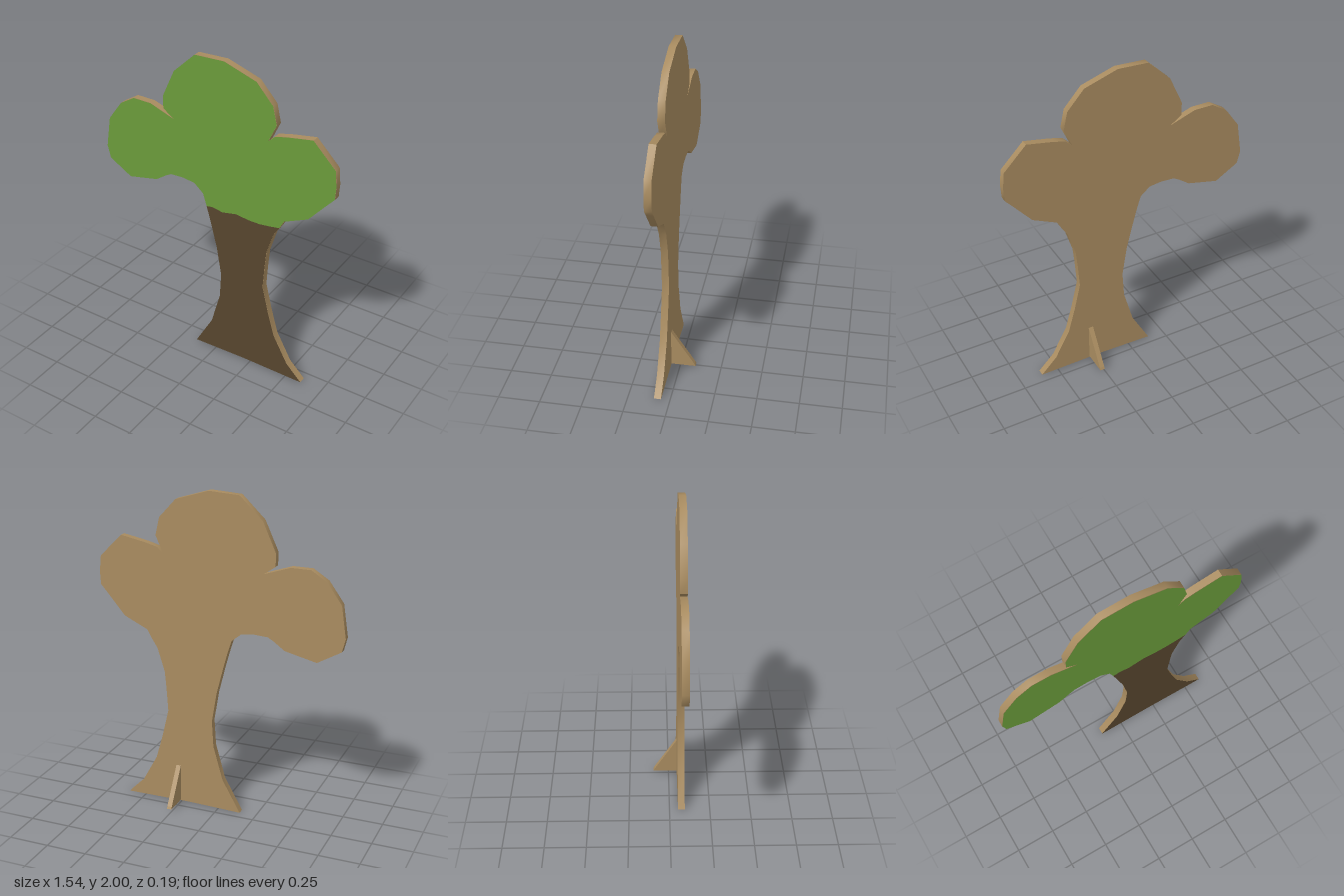
import * as THREE from 'three';
import { toCreasedNormals } from 'three/addons/utils/BufferGeometryUtils.js';

const BACK = 0.053, FRONT = 0.097, SKIN = 0.002;

// Crown outline, clockwise from the left end of the bark line to its right end
const crown = [
  [-0.06, 1.04], [-0.085, 1.12], [-0.145, 1.17], [-0.225, 1.18], [-0.31, 1.175], [-0.345, 1.155],
  [-0.415, 1.105], [-0.61, 1.06], [-0.755, 1.145], [-0.775, 1.225], [-0.745, 1.42], [-0.655, 1.545],
  [-0.56, 1.605], [-0.44, 1.605], [-0.28, 1.55], [-0.35, 1.6], [-0.35, 1.68], [-0.27, 1.855],
  [-0.13, 1.99], [0.06, 2.0], [0.265, 1.935], [0.37, 1.82], [0.395, 1.71], [0.345, 1.6],
  [0.385, 1.64], [0.46, 1.66], [0.62, 1.69], [0.76, 1.55], [0.77, 1.45], [0.765, 1.37],
  [0.725, 1.325], [0.61, 1.19], [0.46, 1.12], [0.43, 1.065],
];
// Trunk outline below the crown, right side down and left side up
const trunk = [
  [0.395, 1.01], [0.35, 0.865], [0.34, 0.76], [0.33, 0.61], [0.37, 0.44], [0.415, 0.28],
  [0.51, 0.105], [0.61, 0.005], [0.2, 0.009], [-0.145, 0], [-0.03, 0.205], [0.03, 0.42],
  [0.04, 0.585], [0.01, 0.77], [-0.03, 0.93],
];
// Wavy line where leaves meet bark, right to left
const seam = [[0.36, 1.053], [0.3, 1.045], [0.23, 1.045], [0.14, 1.055], [0.05, 1.035], [-0.02, 1.047]];

const toShape = (points) => new THREE.Shape(points.map(([x, y]) => new THREE.Vector2(x, y)));

export function createModel() {
  const group = new THREE.Group();
  const wood = new THREE.MeshStandardMaterial({ color: 0xa98c60 });
  const leaf = new THREE.MeshStandardMaterial({ color: 0x6a9a3a });
  const bark = new THREE.MeshStandardMaterial({ color: 0x56452d });
  wood.name = 'plywood';
  leaf.name = 'leafGreen';
  bark.name = 'barkBrown';

  const add = (name, geometry, material) => {
    const mesh = new THREE.Mesh(geometry, material);
    mesh.name = name;
    group.add(mesh);
    return mesh;
  };

  // Cut-out board
  const board = new THREE.ExtrudeGeometry(toShape([...crown, ...trunk]), {
    depth: FRONT - SKIN - BACK, bevelEnabled: false,
  });
  add('board', toCreasedNormals(board, 0.8), wood).position.z = BACK;

  // Painted front faces
  add('crownPaint', new THREE.ShapeGeometry(toShape([...crown, ...seam])), leaf).position.z = FRONT;
  const barkPoints = [crown[0], ...[...seam].reverse(), crown[crown.length - 1], ...trunk];
  add('trunkPaint', new THREE.ShapeGeometry(toShape(barkPoints)), bark).position.z = FRONT;

  // Triangular prop behind the foot, drawn in (-z, y) and turned to face sideways
  const prop = new THREE.ExtrudeGeometry(
    toShape([[-BACK, 0.015], [0.097, 0.015], [0.09, 0.03], [-BACK, 0.25]]),
    { depth: 0.03, bevelEnabled: false },
  );
  prop.rotateY(Math.PI / 2);
  add('backProp', prop, wood).position.x = 0.25;

  return group;
}
